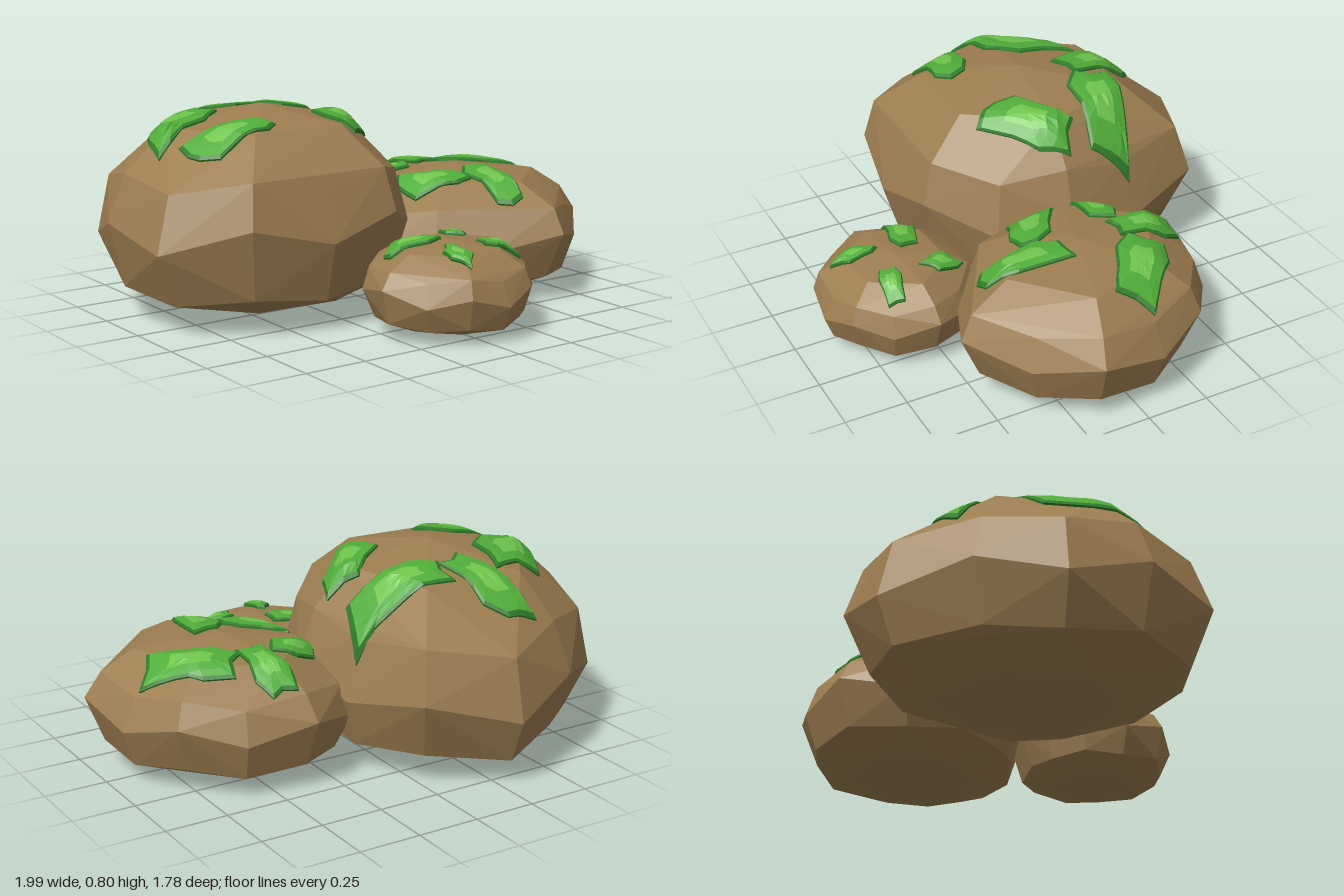
import * as THREE from 'three';
import { ConvexGeometry } from 'three/addons/geometries/ConvexGeometry.js';

const { lerp, degToRad } = THREE.MathUtils;
const paint = (color) => new THREE.MeshStandardMaterial({ color, flatShading: true, roughness: 1 });
const stone = paint(0x9c7d50);
const mossTones = { mossRim: paint(0x2f7d2a), mossTop: paint(0x50ad38), mossCrown: paint(0x70c54c) };

// Faceted convex stone: a ragged waist of given radii, with smaller rings closing to apex and floor
function rockGeometry(apex, waistHeight, frontRise, startAngle, radii) {
  const points = [apex, new THREE.Vector3(apex.x, 0, apex.z)];
  const addRing = (endY, blend, scale, step, unevenness) => {
    for (let i = 0; i < radii.length; i += step) {
      const angle = degToRad(startAngle + (360 * i) / radii.length);
      const waistY = waistHeight + frontRise * Math.sin(angle) + 0.12 * waistHeight * (-1) ** i;
      const r = radii[i] * scale * (1 + unevenness * Math.sin(i * 2.4 + blend * 9));
      points.push(new THREE.Vector3(
        apex.x + r * Math.cos(angle), lerp(waistY, endY, blend), apex.z + r * Math.sin(angle)));
    }
  };
  addRing(0, 0, 1, 1, 0);
  addRing(apex.y, 0.45, 0.9, 1, 0.03);
  addRing(apex.y, 0.83, 0.62, 2, 0.03);
  addRing(0, 0.65, 0.88, 1, 0.03);
  addRing(0, 0.9, 0.55, 2, 0.03);
  return new ConvexGeometry(points);
}

// Returns a function giving the point on top of a convex stone, lifted along its normal
function surfaceOf(geometry) {
  const pos = geometry.attributes.position;
  const planes = [];
  for (let i = 0; i < pos.count; i += 3) {
    const [a, b, c] = [0, 1, 2].map((j) => new THREE.Vector3().fromBufferAttribute(pos, i + j));
    const plane = new THREE.Plane().setFromCoplanarPoints(a, b, c);
    if (plane.normal.y > 0.02) planes.push(plane);
  }
  return (x, z, lift) => {
    let y = Infinity;
    let normal = null;
    for (const { normal: n, constant } of planes) {
      const h = -(constant + n.x * x + n.z * z) / n.y;
      if (h < y) {
        y = h;
        normal = n;
      }
    }
    return new THREE.Vector3(x, y, z).addScaledVector(normal, lift);
  };
}

// Band of triangles between rings running from the outside in
function bandGeometry(rings) {
  const tris = [];
  for (let r = 0; r + 1 < rings.length; r++) {
    const [outer, inner] = [rings[r], rings[r + 1]];
    outer.forEach((p, i) => {
      const j = (i + 1) % outer.length;
      tris.push(p, inner[i], outer[j], inner[i], inner[j], outer[j]);
    });
  }
  const geometry = new THREE.BufferGeometry().setFromPoints(tris);
  geometry.computeVertexNormals();
  return geometry;
}

// Ragged moss patch draped over the stone: dark rim, green top, light crown
function mossPatch([x, z, halfLength, halfWidth, turn], surface) {
  const centre = new THREE.Vector2(x, z);
  const corners = Array.from({ length: 10 }, (_, i) => {
    const angle = (i * Math.PI) / 5;
    const reach = 0.95 + 0.2 * Math.sin(i * 2.3 + x * 20 + z * 13);
    return new THREE.Vector2(halfLength * Math.cos(angle), halfWidth * Math.sin(angle))
      .multiplyScalar(reach).rotateAround(new THREE.Vector2(), degToRad(turn)).add(centre);
  });
  const outline = corners.flatMap((p, i) => [p, p.clone().lerp(corners[(i + 1) % corners.length], 0.5)]);
  const ring = (scale, lift) => outline.map((p) => {
    const q = centre.clone().lerp(p, scale);
    return surface(q.x, q.y, lift);
  });
  const bands = {
    mossRim: [ring(1, -0.012), ring(1, 0.008), ring(0.9, 0.015)],
    mossTop: [ring(0.9, 0.015), ring(0.68, 0.018), ring(0.45, 0.02)],
    mossCrown: [ring(0.45, 0.02), ring(0.22, 0.022), ring(0, 0.022)],
  };
  const patch = new THREE.Group();
  patch.name = 'mossPatch';
  for (const [name, rings] of Object.entries(bands)) {
    const mesh = new THREE.Mesh(bandGeometry(rings), mossTones[name]);
    mesh.name = name;
    patch.add(mesh);
  }
  return patch;
}

// Stone with its moss; each patch is x, z, half length, half width and turn in degrees
function makeBoulder(name, { apex, waistHeight, frontRise, startAngle, radii, moss }) {
  const boulder = new THREE.Group();
  boulder.name = name;
  const rock = new THREE.Mesh(
    rockGeometry(new THREE.Vector3(...apex), waistHeight, frontRise, startAngle, radii), stone);
  rock.name = 'stone';
  const surface = surfaceOf(rock.geometry);
  boulder.add(rock, ...moss.map((patch) => mossPatch(patch, surface)));
  return boulder;
}

export function createModel() {
  const model = new THREE.Group();
  model.name = 'mossyBoulders';
  model.add(makeBoulder('largeBoulder', {
    apex: [-0.35, 0.8, -0.16], waistHeight: 0.35, frontRise: 0.04, startAngle: 5,
    radii: [0.57, 0.58, 0.605, 0.59, 0.65, 0.7, 0.65, 0.65, 0.64, 0.73, 0.72, 0.59],
    moss: [
      [-0.645, -0.285, 0.25, 0.13, -45],
      [-0.36, -0.52, 0.21, 0.1, 72],
      [-0.07, -0.385, 0.21, 0.12, 16],
      [-0.05, -0.05, 0.21, 0.1, -52],
      [-0.63, 0.05, 0.18, 0.1, 12],
    ],
  }));
  model.add(makeBoulder('mediumBoulder', {
    apex: [0.48, 0.5, 0.02], waistHeight: 0.25, frontRise: 0, startAngle: 18,
    radii: [0.54, 0.5, 0.56, 0.46, 0.43, 0.46, 0.47, 0.52, 0.54, 0.5, 0.49, 0.49],
    moss: [
      [0.46, -0.285, 0.155, 0.08, 88],
      [0.69, -0.13, 0.2, 0.11, 37],
      [0.28, -0.17, 0.13, 0.07, -15],
      [0.28, 0.115, 0.15, 0.095, 40],
      [0.485, 0.24, 0.19, 0.085, 100],
    ],
  }));
  model.add(makeBoulder('smallBoulder', {
    apex: [0.02, 0.34, 0.58], waistHeight: 0.18, frontRise: -0.02, startAngle: -6,
    radii: [0.355, 0.32, 0.31, 0.31, 0.315, 0.32, 0.35, 0.34, 0.325, 0.31, 0.32, 0.33],
    moss: [
      [-0.1, 0.49, 0.13, 0.065, 5],
      [0.14, 0.43, 0.08, 0.045, 95],
      [0.18, 0.655, 0.085, 0.05, 10],
      [-0.055, 0.71, 0.085, 0.045, 97],
    ],
  }));
  return model;
}
